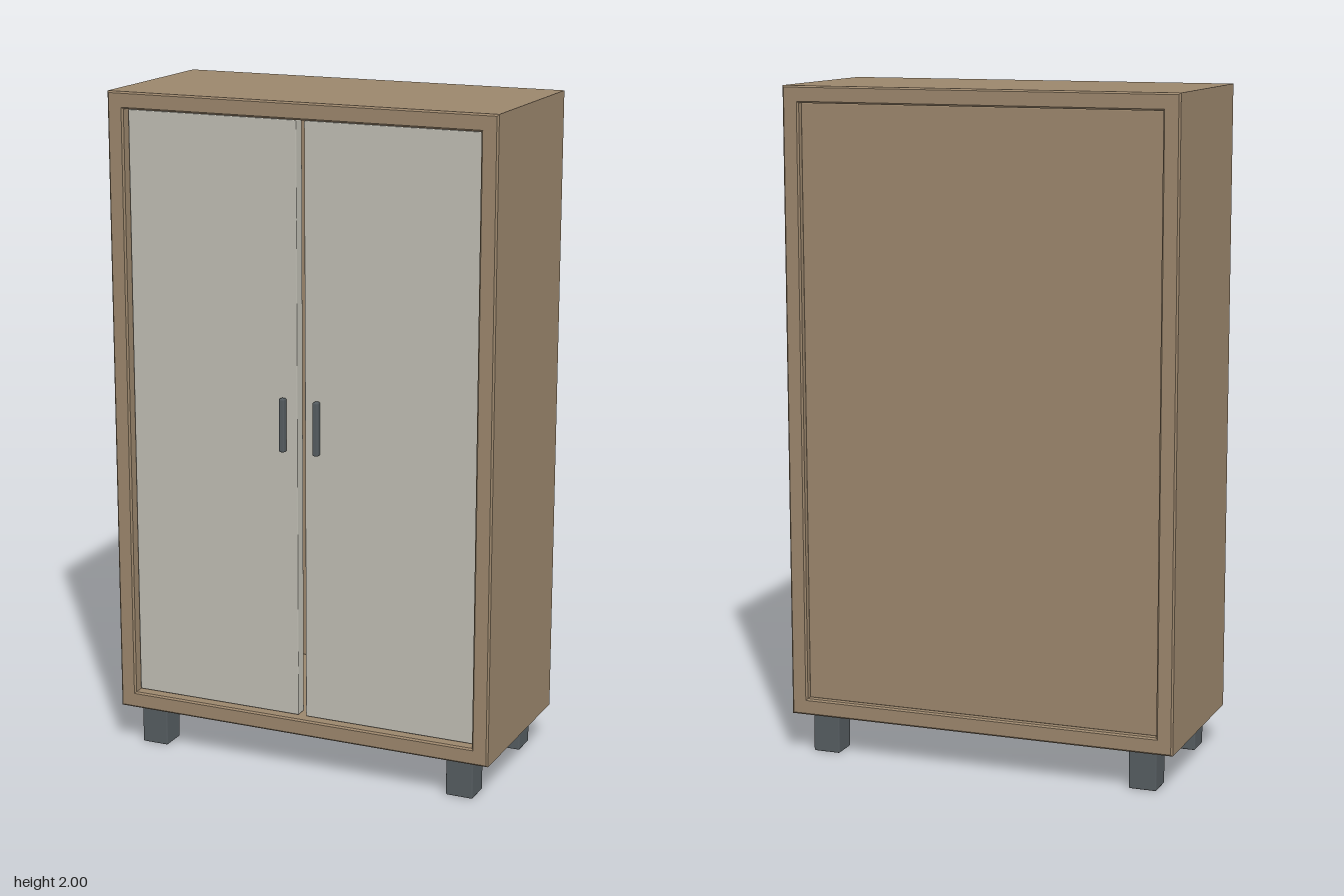
import * as THREE from 'three';
import { RoundedBoxGeometry } from 'three/addons/geometries/RoundedBoxGeometry.js';

const wood = new THREE.MeshStandardMaterial({ color: 0x9b866c });
wood.name = 'wood';
const doorPaint = new THREE.MeshStandardMaterial({ color: 0xbfbdb3 });
doorPaint.name = 'pale door paint';
const metal = new THREE.MeshStandardMaterial({ color: 0x555c60 });
metal.name = 'dark metal';

const HALF_W = 0.597, HALF_D = 0.272, BOTTOM = 0.12, TOP = 2, BOARD = 0.05, BEVEL = 0.005;

// Rectangle corners, x0..x1 by y0..y1
function rect(x0, y0, x1, y1) {
  return [[x0, y0], [x1, y0], [x1, y1], [x0, y1]].map(([x, y]) => new THREE.Vector2(x, y));
}

// Box with slightly softened edges
function block(name, material, w, h, d, x, y, z, radius = 0.003) {
  const mesh = new THREE.Mesh(new RoundedBoxGeometry(w, h, d, 1, radius), material);
  mesh.name = name;
  mesh.position.set(x, y, z);
  return mesh;
}

export function createModel() {
  const cabinet = new THREE.Group();
  cabinet.name = 'cabinet';

  // Carcass: open rectangular tube with bevelled rims
  const outline = new THREE.Shape(rect(-HALF_W, BOTTOM, HALF_W, TOP));
  outline.holes.push(new THREE.Path(
    rect(-HALF_W + BOARD, BOTTOM + BOARD, HALF_W - BOARD, TOP - BOARD).reverse()));
  const shell = new THREE.ExtrudeGeometry(outline, {
    depth: 2 * (HALF_D - BEVEL), bevelEnabled: true, bevelSegments: 1,
    bevelSize: BEVEL, bevelThickness: BEVEL, bevelOffset: -BEVEL,
  });
  shell.translate(0, 0, -HALF_D + BEVEL);
  const carcass = new THREE.Mesh(shell, wood);
  carcass.name = 'carcass';
  cabinet.add(carcass);

  // Recessed back panel
  const midY = (BOTTOM + TOP) / 2;
  const innerH = TOP - BOTTOM - 2 * BOARD;
  cabinet.add(block('backPanel', wood, 2 * (HALF_W - BOARD), innerH, 0.02, 0, midY, -HALF_D + 0.03));

  for (const side of [-1, 1]) {
    const label = side > 0 ? 'left' : 'right';

    // Door, set back from the rim, with a narrow centre gap
    cabinet.add(block(label + 'Door', doorPaint, 0.531, innerH - 0.008, 0.04,
      side * 0.2775, midY, HALF_D - 0.045));

    // Upright pull handle
    cabinet.add(block(label + 'Handle', metal, 0.018, 0.16, 0.022,
      side * 0.053, 1.065, HALF_D - 0.014, 0.005));

    // Square feet
    for (const end of [-1, 1]) {
      cabinet.add(block(label + (end > 0 ? 'Front' : 'Back') + 'Foot', metal,
        0.084, 0.122, 0.084, side * 0.499, 0.061, end * 0.2, 0.005));
    }
  }

  return cabinet;
}
